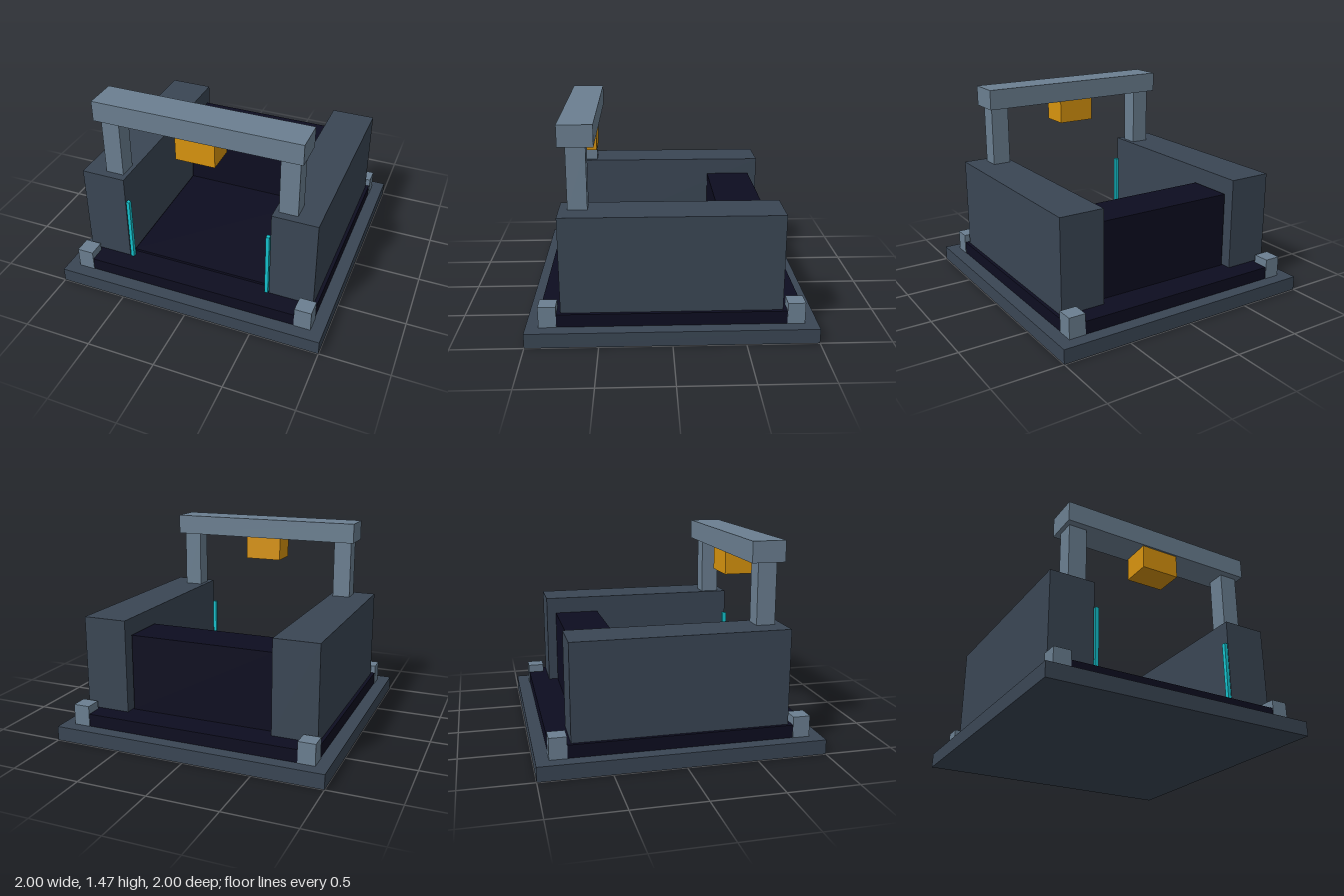
import * as THREE from 'three';

const mat = (name, color) => {
  const m = new THREE.MeshStandardMaterial({ color });
  m.name = name;
  return m;
};

export function createModel() {
  const model = new THREE.Group();
  model.name = 'gantryBay';

  const slate = mat('dark slate', 0x3a4654);
  const steel = mat('blue steel', 0x6b7f91);
  const navy = mat('near black navy', 0x0d0d20);
  const amber = mat('amber', 0xd8940e);
  const cyan = mat('cyan light', 0x14c4cf);

  // Box given by its lower and upper limits on each axis
  const box = (name, material, [x0, x1], [y0, y1], [z0, z1]) => {
    const mesh = new THREE.Mesh(new THREE.BoxGeometry(x1 - x0, y1 - y0, z1 - z0), material);
    mesh.position.set((x0 + x1) / 2, (y0 + y1) / 2, (z0 + z1) / 2);
    mesh.name = name;
    model.add(mesh);
  };
  // Range mirrored to the given side
  const onSide = (s, a, b) => (s > 0 ? [a, b] : [-b, -a]);

  // Stepped base and inner floor
  box('basePlate', slate, [-1, 1], [0, 0.105], [-1, 1]);
  box('upperSlab', navy, [-0.905, 0.905], [0.105, 0.197], [-0.905, 0.905]);
  box('bayFloor', navy, [-0.54, 0.54], [0.197, 0.215], [-0.36, 0.7]);

  // Rear block between the side walls
  box('rearBlock', navy, [-0.54, 0.54], [0.197, 0.76], [-0.69, -0.35]);

  for (const s of [-1, 1]) {
    const side = s > 0 ? 'left' : 'right';
    box(side + 'Wall', slate, onSide(s, 0.553, 0.88), [0.197, 0.88], [-0.76, 0.76]);
    box(side + 'LightStrip', cyan, onSide(s, 0.52, 0.545), [0.197, 0.695], [0.735, 0.765]);
    box(side + 'GantryPost', steel, onSide(s, 0.585, 0.72), [0.88, 1.32], [0.565, 0.7]);
    for (const f of [-1, 1]) {
      const end = f > 0 ? 'Front' : 'Back';
      box(side + end + 'CornerBlock', steel, onSide(s, 0.788, 0.91), [0.105, 0.257], onSide(f, 0.788, 0.91));
    }
  }

  // Gantry beam with hanging tool head
  box('gantryBeam', steel, [-0.75, 0.75], [1.32, 1.47], [0.51, 0.75]);
  box('toolHead', amber, [-0.143, 0.143], [1.145, 1.32], [0.525, 0.737]);

  return model;
}
